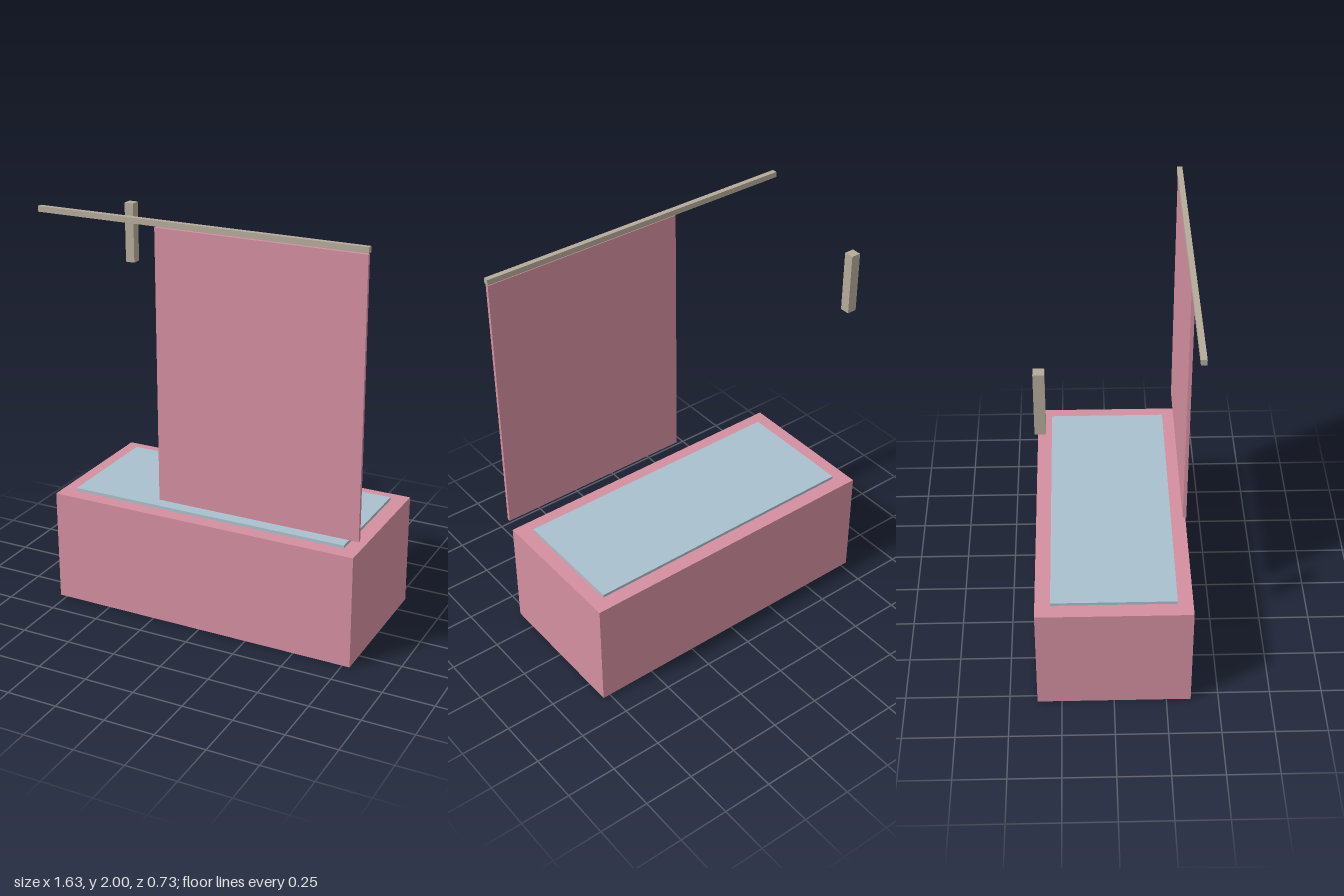
import * as THREE from 'three';

const material = (color) => new THREE.MeshStandardMaterial({ color });

export function createModel() {
  const model = new THREE.Group();
  model.name = 'bathtubWithCurtain';
  const pink = material(0xd48fa0);
  const blue = material(0xa9c1ce);
  const metal = material(0xb5ab9b);

  // Box given by its lowest and highest corners
  const box = (name, mat, [x0, y0, z0], [x1, y1, z1]) => {
    const mesh = new THREE.Mesh(new THREE.BoxGeometry(x1 - x0, y1 - y0, z1 - z0), mat);
    mesh.position.set((x0 + x1) / 2, (y0 + y1) / 2, (z0 + z1) / 2);
    mesh.name = name;
    model.add(mesh);
  };

  // Tub, with the water slab standing slightly above its rim
  box('tub', pink, [-0.787, 0, -0.367], [0.787, 0.562, 0.367]);
  box('water', blue, [-0.712, 0.54, -0.294], [0.712, 0.577, 0.294]);

  // Rail along the front edge, with the curtain drawn to the left end
  box('curtainRail', metal, [-0.813, 1.973, 0.341], [0.813, 2, 0.367]);
  box('curtain', pink, [-0.206, 0.646, 0.346], [0.81, 1.967, 0.363]);

  // Shower fitting above the back right corner
  box('showerHead', metal, [-0.741, 1.583, -0.333], [-0.693, 1.885, -0.285]);

  return model;
}
